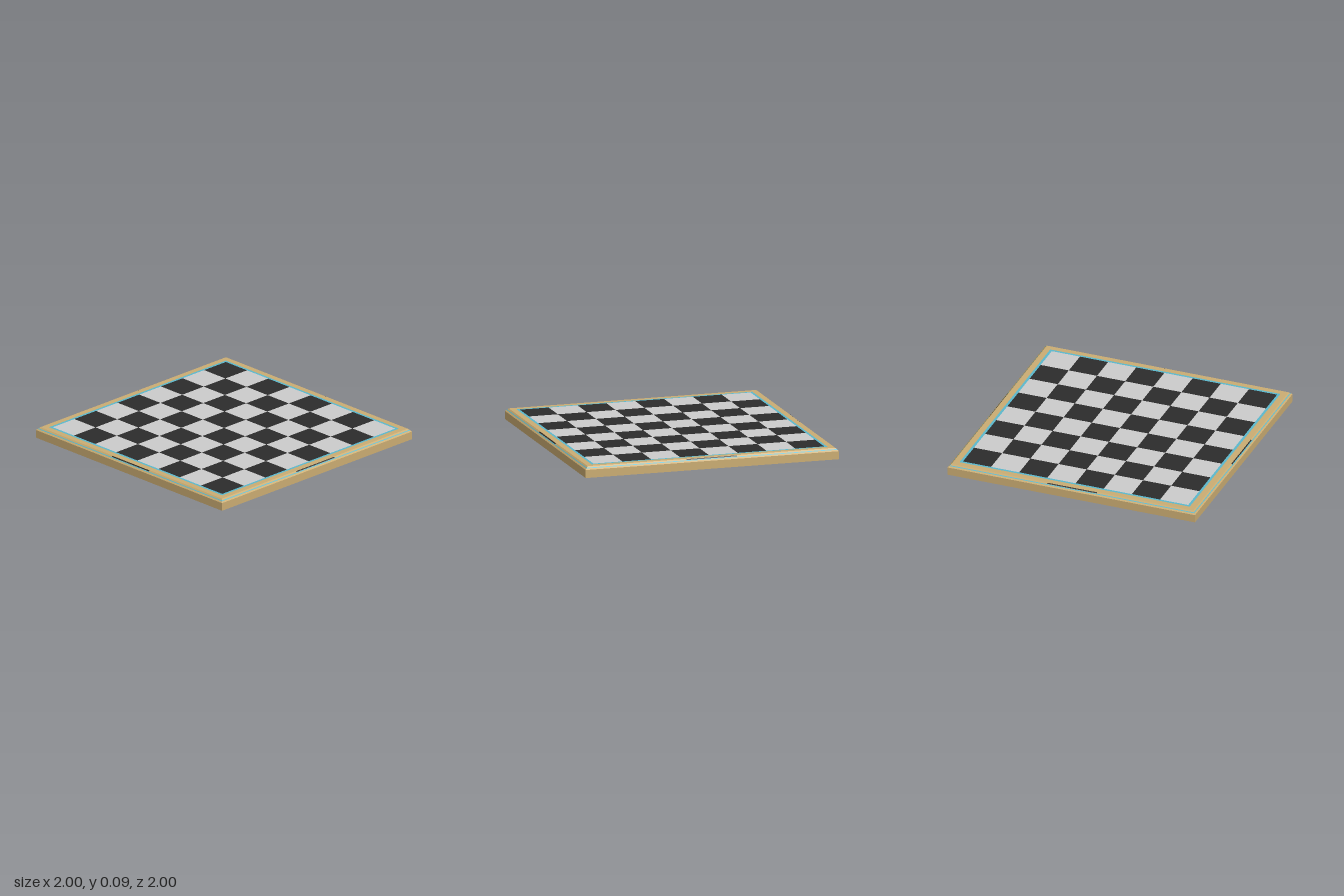
import * as THREE from 'three';
import { mergeGeometries } from 'three/addons/utils/BufferGeometryUtils.js';

const mat = (color) => new THREE.MeshStandardMaterial({ color, side: THREE.DoubleSide });
const WOOD = mat(0xcaac72), TEAL = mat(0x5bb8cc), DARK = mat(0x2c2c2c), LIGHT = mat(0xcccccc);

// Square open band swept through [half-width, height] points, with flat faces
function band(name, material, profile) {
  const pts = profile.map(([r, y]) => new THREE.Vector2(r * Math.SQRT2, y));
  const geo = new THREE.LatheGeometry(pts, 4).rotateY(Math.PI / 4).toNonIndexed();
  geo.computeVertexNormals();
  const mesh = new THREE.Mesh(geo, material);
  mesh.name = name;
  return mesh;
}

export function createModel() {
  const board = new THREE.Group();
  board.name = 'checkeredBoard';
  const top = 0.085;

  // Hollow frame: side walls, bevel with a fine inlay, flat rim and coloured border
  board.add(
    band('sideWalls', WOOD, [[1, 0], [1, 0.062]]),
    band('lowerBevel', WOOD, [[1, 0.062], [0.99, 0.071]]),
    band('bevelInlay', TEAL, [[0.99, 0.071], [0.985, 0.076]]),
    band('upperBevel', WOOD, [[0.985, 0.076], [0.976, top]]),
    band('rim', WOOD, [[0.976, top], [0.93, top]]),
    band('border', TEAL, [[0.93, top], [0.91, top]])
  );

  // Short dark inlay in the middle of each bevel
  for (let i = 0; i < 4; i++) {
    const strip = new THREE.PlaneGeometry(0.4, 0.009);
    strip.rotateX(-Math.PI / 4).translate(0, 0.0805, 0.9815).rotateY(i * Math.PI / 2);
    const mesh = new THREE.Mesh(strip, DARK);
    mesh.name = 'bevelStrip';
    board.add(mesh);
  }

  // Eight by eight playing field, open to view from below
  const size = 1.82 / 8;
  const squares = [[], []];
  for (let row = 0; row < 8; row++) {
    for (let col = 0; col < 8; col++) {
      const tile = new THREE.PlaneGeometry(size, size).rotateX(-Math.PI / 2);
      tile.translate((col - 3.5) * size, top, (row - 3.5) * size);
      squares[(row + col) % 2].push(tile);
    }
  }
  squares.forEach((tiles, i) => {
    const mesh = new THREE.Mesh(mergeGeometries(tiles), i ? DARK : LIGHT);
    mesh.name = i ? 'darkSquares' : 'lightSquares';
    board.add(mesh);
  });
  return board;
}
